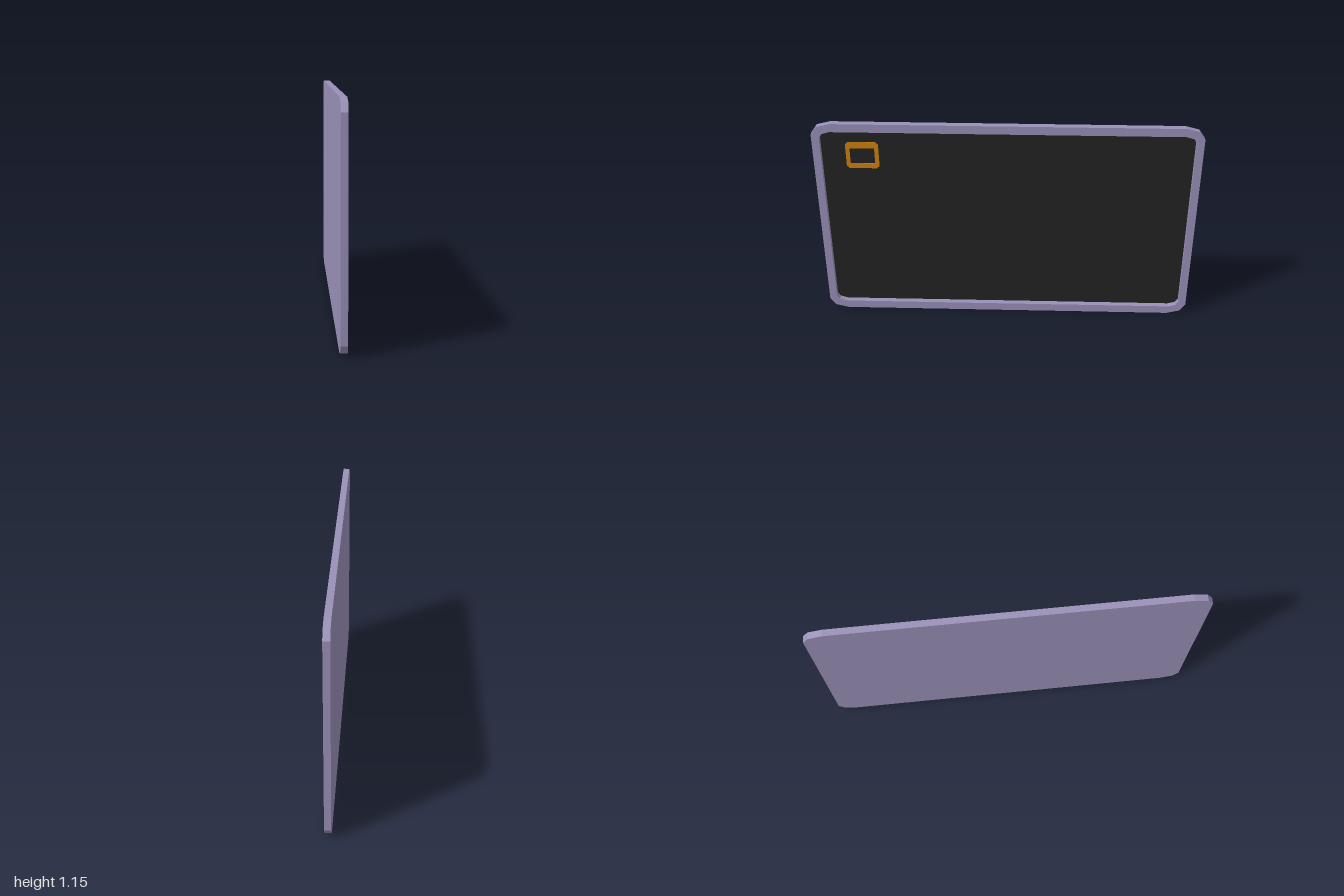
import * as THREE from 'three';

const W = 1.155, MID = W / 2; // overall height and its middle

// Mirrors one corner profile (from side to top) into a closed symmetric outline.
function outline(corner, cu = 0, cv = MID) {
  const back = [...corner].reverse();
  return [
    ...corner.map(([u, v]) => [u, v]),
    ...back.map(([u, v]) => [-u, v]),
    ...corner.map(([u, v]) => [-u, -v]),
    ...back.map(([u, v]) => [u, -v]),
  ].map(([u, v]) => new THREE.Vector2(cu + u, cv + v));
}

// Extrudes an outline along +x, starting at the given x.
function plate(name, material, points, hole, x, depth) {
  const shape = new THREE.Shape(points);
  if (hole) shape.holes.push(new THREE.Path(hole));
  const geometry = new THREE.ExtrudeGeometry(shape, { depth, bevelEnabled: false });
  geometry.rotateY(Math.PI / 2);
  geometry.translate(x, 0, 0);
  const mesh = new THREE.Mesh(geometry, material);
  mesh.name = name;
  return mesh;
}

export function createModel() {
  const casing = new THREE.MeshStandardMaterial({ color: 0x9a90b8 });
  casing.name = 'lavender casing';
  const glass = new THREE.MeshStandardMaterial({ color: 0x232323 });
  glass.name = 'black screen';
  const orange = new THREE.MeshStandardMaterial({ color: 0xd0800f });
  orange.name = 'orange marking';

  const outer = outline([[1, MID - 0.06], [0.97, MID - 0.018], [0.9, MID]]);
  const inner = outline([[0.96, 0.495], [0.945, 0.52], [0.905, 0.532]]);
  const markOuter = outline([[0.0855, 0.062], [0.071, 0.076]], -0.75, 0.965);
  const markInner = outline([[0.064, 0.043]], -0.75, 0.961);

  const group = new THREE.Group();
  group.name = 'wallScreen';
  group.add(
    plate('backPanel', casing, outer, null, -0.017, 0.004),
    plate('frame', casing, outer, inner, -0.013, 0.03),
    plate('screen', glass, inner, null, -0.0145, 0.0025),
    plate('screenMarking', orange, markOuter, markInner, -0.012, 0.002),
  );
  return group;
}
